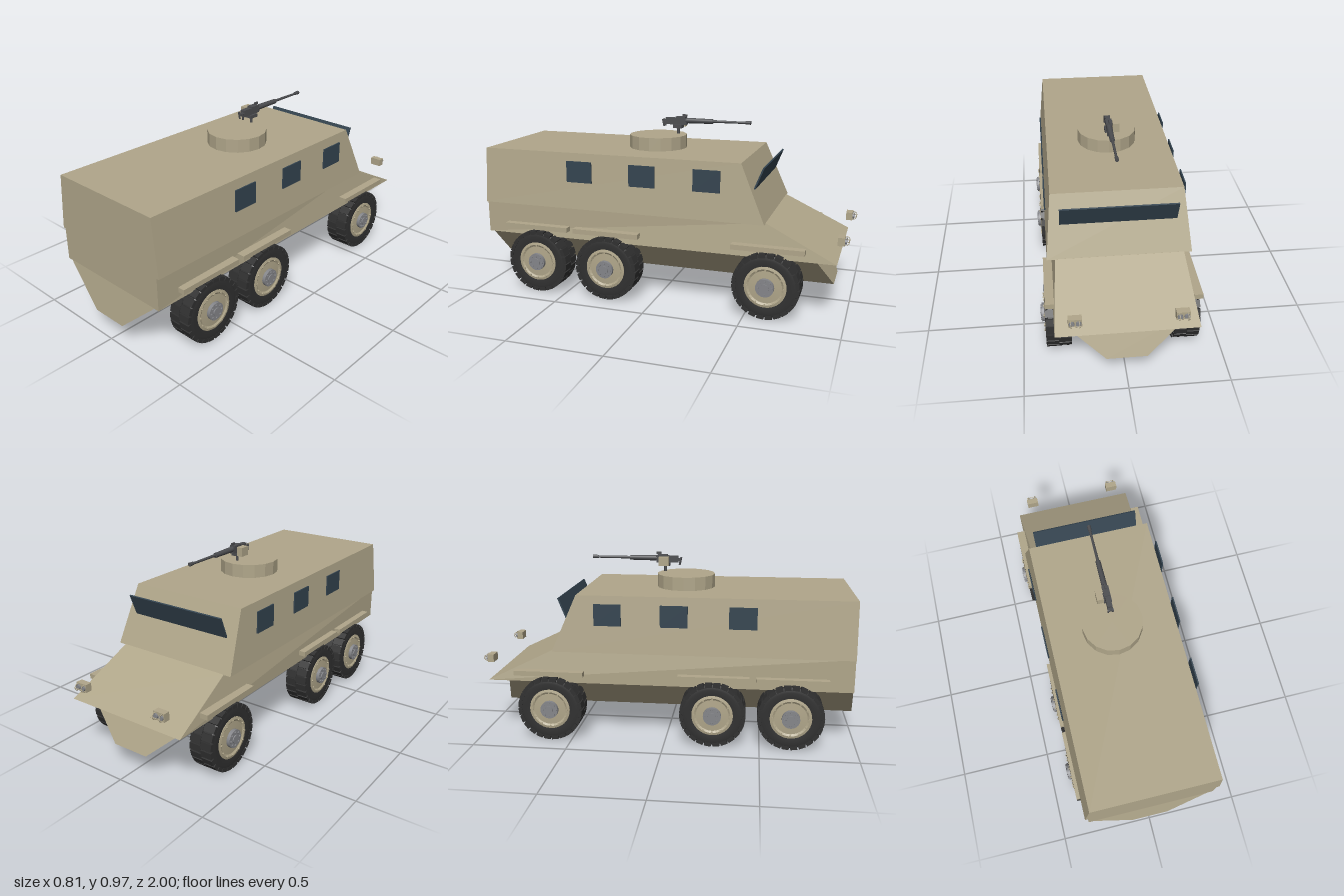
import * as THREE from 'three';
import { toCreasedNormals } from 'three/addons/utils/BufferGeometryUtils.js';

const mat = (color, extra = {}) => new THREE.MeshStandardMaterial({ color, ...extra });
const paint = mat(0xb0a68a, { flatShading: true });
const rubber = mat(0x303030);
const steel = mat(0x85868a);
const gunmetal = mat(0x4c4d50);
const glass = mat(0x344450);

function add(parent, name, geometry, material, x = 0, y = 0, z = 0) {
  const mesh = new THREE.Mesh(geometry, material);
  mesh.name = name;
  mesh.position.set(x, y, z);
  parent.add(mesh);
  return mesh;
}
const box = (w, h, d) => new THREE.BoxGeometry(w, h, d);
const rodX = (r, len, n = 16) => new THREE.CylinderGeometry(r, r, len, n).rotateZ(-Math.PI / 2);
const rodZ = (r0, r1, len, n = 12) => new THREE.CylinderGeometry(r0, r1, len, n).rotateX(-Math.PI / 2);

// Six-sided block; each level is { y, front: [z, halfWidth], back: [z, halfWidth] }
function hullBlock(low, high) {
  const geo = box(1, 1, 1), p = geo.attributes.position;
  for (let i = 0; i < p.count; i++) {
    const level = p.getY(i) > 0 ? high : low;
    const [z, half] = p.getZ(i) > 0 ? level.back : level.front;
    p.setXYZ(i, Math.sign(p.getX(i)) * half, level.y, z);
  }
  geo.computeVertexNormals();
  return geo;
}

// Wheel with its outer face towards +x
function makeWheel() {
  const wheel = new THREE.Group();
  const profile = [[0, -0.055], [0.1, -0.055], [0.14, -0.062], [0.158, -0.06], [0.165, -0.05],
    [0.165, 0.05], [0.158, 0.06], [0.14, 0.064], [0.106, 0.06], [0.1, 0.045]]
    .map(([r, h]) => new THREE.Vector2(r, h));
  const tyre = new THREE.LatheGeometry(profile, 36).rotateZ(-Math.PI / 2);
  add(wheel, 'tyre', toCreasedNormals(tyre, 0.6), rubber);
  // two staggered rows of tread lugs
  const lugs = 24;
  for (let i = 0; i < lugs; i++) {
    for (const row of [-1, 1]) {
      const a = (i + (row > 0 ? 0.5 : 0)) / lugs * Math.PI * 2;
      const lug = add(wheel, 'treadLug', box(0.062, 0.02, 0.036), rubber,
        row * 0.032, Math.cos(a) * 0.162, Math.sin(a) * 0.162);
      lug.rotation.x = a;
    }
  }
  // rim: dished ring, hub and bolts
  const rim = [[0.108, 0.05], [0.108, 0.063], [0.095, 0.066], [0.085, 0.06], [0.05, 0.062], [0, 0.062]]
    .map(([r, h]) => new THREE.Vector2(r, h));
  add(wheel, 'rim', toCreasedNormals(new THREE.LatheGeometry(rim, 32).rotateZ(-Math.PI / 2), 0.4), paint);
  add(wheel, 'hub', rodX(0.047, 0.02, 20), steel, 0.07);
  add(wheel, 'hubCap', rodX(0.022, 0.018, 12), steel, 0.077);
  for (let i = 0; i < 8; i++) {
    const a = i / 8 * Math.PI * 2;
    add(wheel, 'hubBolt', rodX(0.006, 0.012, 6), steel, 0.08, Math.cos(a) * 0.035, Math.sin(a) * 0.035);
  }
  for (let i = 0; i < 12; i++) {
    const a = i / 12 * Math.PI * 2;
    add(wheel, 'rimBolt', rodX(0.005, 0.01, 6), paint, 0.066, Math.cos(a) * 0.093, Math.sin(a) * 0.093);
  }
  return wheel;
}

// Machine gun pointing towards -z, on its pintle
function makeGun() {
  const gun = new THREE.Group();
  gun.name = 'machineGun';
  const y = 0.938;
  add(gun, 'pintle', new THREE.CylinderGeometry(0.008, 0.008, 0.045, 10), gunmetal, 0, 0.888, -0.035);
  add(gun, 'cradle', box(0.042, 0.018, 0.05), gunmetal, 0, 0.905, -0.035);
  add(gun, 'receiver', box(0.026, 0.036, 0.12), gunmetal, 0, 0.933, -0.025);
  add(gun, 'feedCover', box(0.034, 0.012, 0.055), gunmetal, 0, 0.952, -0.05);
  add(gun, 'rearSight', box(0.008, 0.012, 0.026), gunmetal, 0, 0.965, -0.072);
  add(gun, 'barrelShroud', rodZ(0.013, 0.015, 0.15), gunmetal, 0, y, -0.155);
  add(gun, 'barrel', rodZ(0.006, 0.0075, 0.2), gunmetal, 0, y + 0.001, -0.325);
  add(gun, 'muzzle', rodZ(0.01, 0.009, 0.03), gunmetal, 0, y + 0.002, -0.423);
  add(gun, 'gripPlate', box(0.03, 0.012, 0.018), gunmetal, 0, 0.93, 0.042);
  for (const s of [-1, 1]) {
    const grip = add(gun, 'grip', new THREE.CylinderGeometry(0.005, 0.005, 0.04, 8), gunmetal, s * 0.012, 0.923, 0.047);
    grip.rotation.x = 0.2;
  }
  add(gun, 'ammoBox', box(0.034, 0.048, 0.055), paint, -0.038, 0.925, -0.04);
  return gun;
}

function makeHeadlight() {
  const lamp = new THREE.Group();
  lamp.name = 'headlight';
  add(lamp, 'lampHousing', box(0.064, 0.042, 0.034), paint, 0, 0, 0.012);
  for (const s of [-1, 1]) {
    add(lamp, 'lens', rodZ(0.013, 0.013, 0.012), steel, s * 0.016, 0, -0.008);
    // bent wire guards in front of the lenses
    const path = new THREE.CatmullRomCurve3([[0.018, -0.004], [0.012, -0.022], [0, -0.026], [-0.012, -0.022], [-0.018, -0.004]]
      .map(([h, z]) => new THREE.Vector3(s * 0.02, h, z)));
    add(lamp, 'lampGuard', new THREE.TubeGeometry(path, 12, 0.002, 6), paint);
  }
  add(lamp, 'guardBar', rodX(0.002, 0.056, 6), paint, 0, 0, -0.026);
  return lamp;
}

export function createModel() {
  const model = new THREE.Group();
  model.name = 'armouredTruck';

  // body: sloped cabin, middle hull with pointed nose, V-shaped belly
  add(model, 'cabin', hullBlock(
    { y: 0.488, front: [-0.592, 0.36], back: [0.97, 0.36] },
    { y: 0.786, front: [-0.463, 0.33], back: [0.97, 0.33] }), paint);
  add(model, 'middleHull', hullBlock(
    { y: 0.315, front: [-0.95, 0.342], back: [0.97, 0.345] },
    { y: 0.49, front: [-0.592, 0.32], back: [0.97, 0.345] }), paint);
  add(model, 'belly', hullBlock(
    { y: 0.128, front: [-0.922, 0.1], back: [1, 0.1] },
    { y: 0.317, front: [-0.846, 0.318], back: [0.97, 0.318] }), paint);

  // windscreen plate tilted forward
  const screen = add(model, 'windscreen', box(0.58, 0.118, 0.008), glass, 0, 0.705, -0.546);
  screen.rotation.x = -0.38;

  // roof ring and weapon
  add(model, 'roofRing', new THREE.CylinderGeometry(0.158, 0.158, 0.074, 16), paint, 0, 0.82, 0.08);
  model.add(makeGun());

  for (const s of [-1, 1]) {
    const side = s > 0 ? 'left' : 'right';
    for (const z of [0.401, 0.05, -0.294])
      add(model, side + 'Window', box(0.007, 0.113, 0.142), glass, s * 0.357, 0.69, z);
    for (const z of [0.66, 0.255, -0.613])
      add(model, side + 'Fender', box(0.045, 0.026, 0.37), paint, s * 0.358, 0.369, z);
    for (const z of [0.657, 0.253, -0.61]) {
      const wheel = makeWheel();
      wheel.name = side + 'Wheel';
      wheel.position.set(s * 0.319, 0.176, z);
      if (s < 0) wheel.rotation.y = Math.PI;
      model.add(wheel);
    }
    const lamp = makeHeadlight();
    lamp.position.set(s * 0.247, 0.415, -0.971);
    model.add(lamp);
  }
  return model;
}
